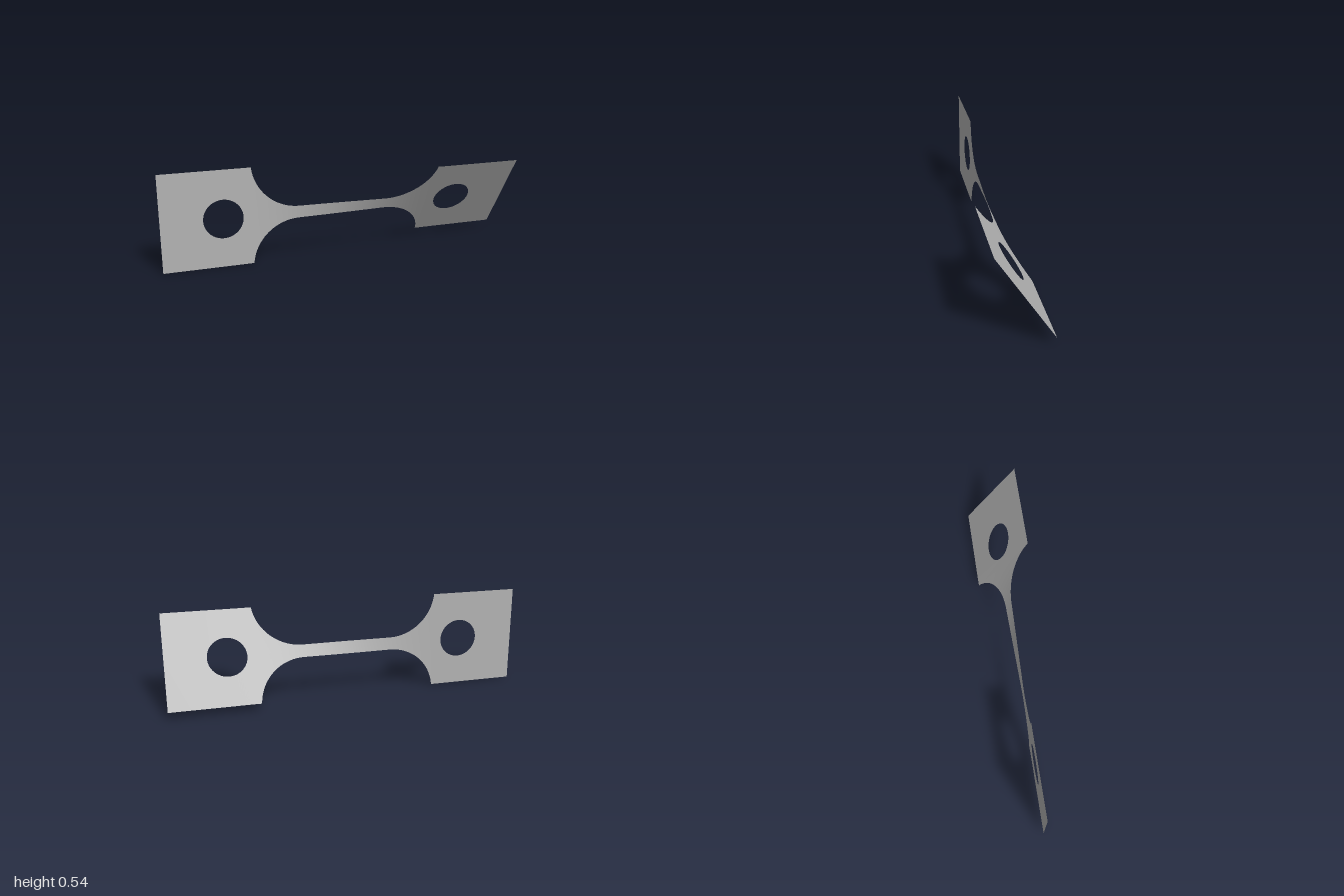
import * as THREE from 'three';
import { mergeVertices } from 'three/addons/utils/BufferGeometryUtils.js';

const HALF = 0.271, NECK = 0.035;      // half heights of the end plates and the neck
const FILLET = 0.2613, NECK_END = 0.25; // concave shoulder radius and where it meets the neck
const HOLE_X = 0.667, HOLE_R = 0.108;
const TWIST = THREE.MathUtils.degToRad(33);

// Columns [x, inner half height, outer half height] from the middle to the +x end
function halfColumns() {
  const cols = [];
  for (let i = 0; i <= 12; i++) cols.push([NECK_END * i / 12, 0, NECK]);
  const end = Math.acos((NECK + FILLET - HALF) / FILLET);
  for (let i = 1; i <= 24; i++) {
    const a = end * i / 24;
    cols.push([NECK_END + FILLET * Math.sin(a), 0, NECK + FILLET * (1 - Math.cos(a))]);
  }
  for (let i = 0; i <= 32; i++) {
    const a = Math.PI * i / 32;
    const inner = i % 32 === 0 ? 0 : HOLE_R * Math.sin(a);
    cols.push([HOLE_X - HOLE_R * Math.cos(a), inner, HALF]);
  }
  cols.push([0.88, 0, HALF], [1, 0, HALF]);
  return cols;
}

// Rotate each cross-section about the long axis, easing into both plates
function twisted(x, y) {
  const a = TWIST * THREE.MathUtils.smoothstep(x, -0.55, 0.55);
  return [x, HALF + y * Math.cos(a), y * Math.sin(a)];
}

function stripGeometry() {
  const right = halfColumns();
  const left = right.slice(1).reverse().map(([x, a, b]) => [-x, a, b]);
  const cols = [...left, ...right];
  const positions = [];
  const quad = (a, b, c, d) => positions.push(...a, ...b, ...c, ...a, ...c, ...d);
  for (let i = 0; i < cols.length - 1; i++) {
    const [x0, in0, out0] = cols[i], [x1, in1, out1] = cols[i + 1];
    // Upper band, then lower band, leaving the hole open between them
    quad(twisted(x0, in0), twisted(x1, in1), twisted(x1, out1), twisted(x0, out0));
    quad(twisted(x0, -out0), twisted(x1, -out1), twisted(x1, -in1), twisted(x0, -in0));
  }
  const geometry = new THREE.BufferGeometry();
  geometry.setAttribute('position', new THREE.Float32BufferAttribute(positions, 3));
  const merged = mergeVertices(geometry, 1e-5);
  merged.computeVertexNormals();
  return merged;
}

export function createModel() {
  const group = new THREE.Group();
  group.name = 'twistedLink';
  const metal = new THREE.MeshStandardMaterial({ color: 0xb4b4b4, side: THREE.DoubleSide });
  metal.name = 'grey metal';
  const strip = new THREE.Mesh(stripGeometry(), metal);
  strip.name = 'twistedStrip';
  group.add(strip);
  return group;
}
